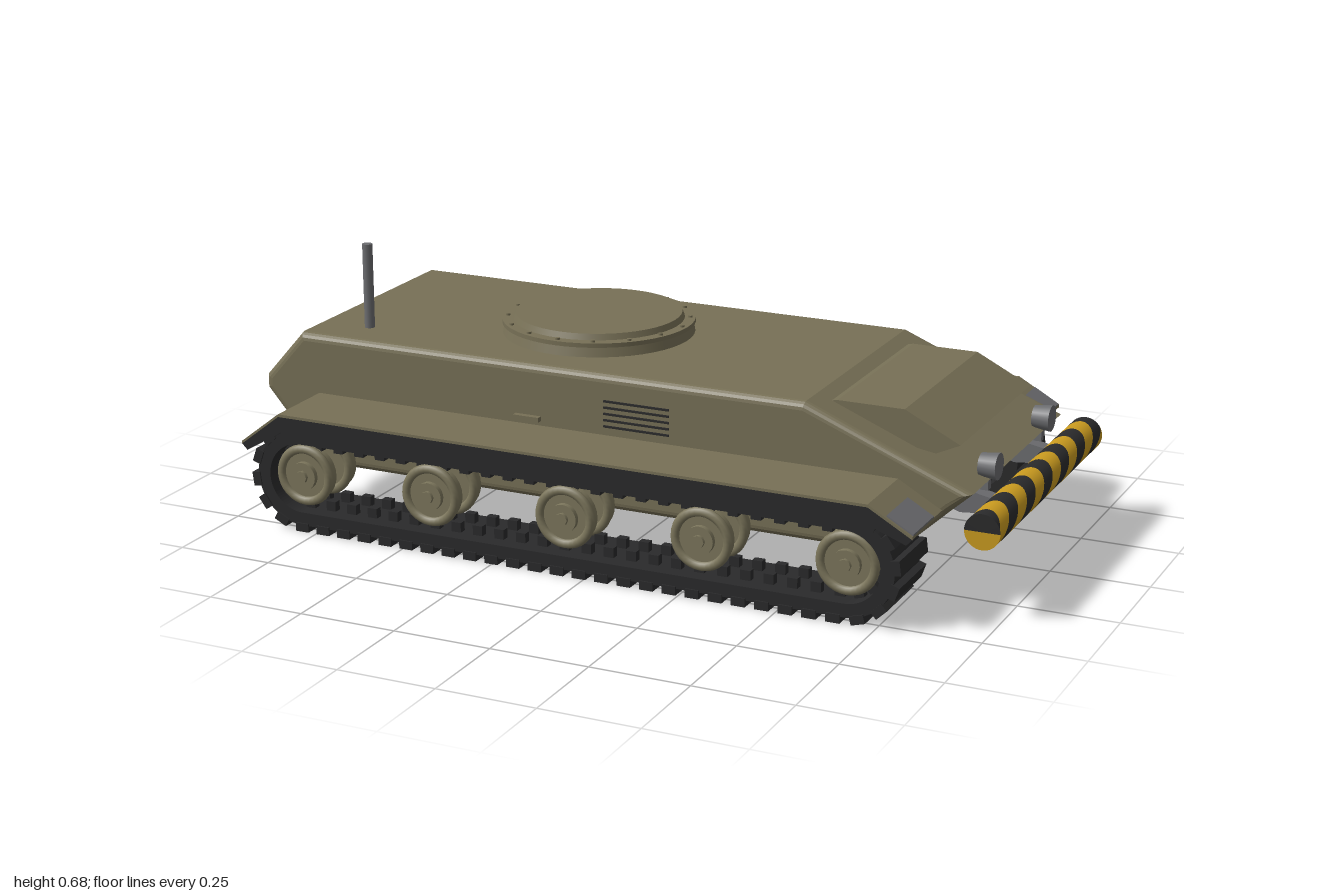
import * as THREE from 'three';
import { mergeGeometries } from 'three/addons/utils/BufferGeometryUtils.js';

const paint = (name, color) => {
  const m = new THREE.MeshStandardMaterial({ color });
  m.name = name;
  return m;
};

// Flat shape from a list of [x, y] points
const outline = (points) => new THREE.Shape(points.map(([x, y]) => new THREE.Vector2(x, y)));

// Side profile swept from z0 to z1, with optionally rounded edges
function sweep(shape, z0, z1, bevel = 0) {
  const geo = new THREE.ExtrudeGeometry(shape, {
    depth: z1 - z0 - 2 * bevel, bevelEnabled: bevel > 0, bevelThickness: bevel,
    bevelSize: bevel, bevelOffset: -bevel, bevelSegments: 4, curveSegments: 20,
  });
  return geo.translate(0, 0, z0 + bevel);
}

const box = (w, h, d, x, y, z) => new THREE.BoxGeometry(w, h, d).translate(x, y, z);

// Cylinder along z
const disc = (r0, r1, depth, x, y, z, n = 28) =>
  new THREE.CylinderGeometry(r0, r1, depth, n).rotateX(Math.PI / 2).translate(x, y, z);

// Track layout
const REAR = -0.79, FRONT = 0.67, AXLE = 0.14;
const wheelXs = [-0.79, -0.43, -0.06, 0.3, 0.67];

function stadium(r, PathType) {
  const p = new PathType();
  p.absarc(FRONT, AXLE, r, -Math.PI / 2, Math.PI / 2, false);
  p.absarc(REAR, AXLE, r, Math.PI / 2, Math.PI * 1.5, false);
  p.closePath();
  return p;
}

export function createModel() {
  const olive = paint('olive paint', 0x777056);
  const wheelOlive = paint('wheel olive', 0x7c765c);
  const black = paint('black rubber', 0x2a2a2b);
  const yellow = paint('warning yellow', 0xc99a1f);
  const grey = paint('bare metal', 0x6c6d70);
  const model = new THREE.Group();
  const add = (name, geo, mat, parent = model) => {
    const m = new THREE.Mesh(geo, mat);
    m.name = name;
    parent.add(m);
    return m;
  };

  // Hull
  add('hull', sweep(outline([
    [-0.89, 0.46], [-1, 0.335], [-1, 0.3], [-0.84, 0.115], [0.72, 0.115],
    [0.86, 0.245], [0.91, 0.29], [0.49, 0.46],
  ]), -0.345, 0.345, 0.02), olive);

  // Raised hatch on the sloping nose
  add('noseHatch', sweep(outline([
    [0.5, 0.44], [0.54, 0.448], [0.71, 0.448], [0.85, 0.378], [0.79, 0.35], [0.6, 0.38],
  ]), -0.257, 0.257), olive);

  // Turret ring with flange, bolts and low lid
  const ring = new THREE.Group();
  ring.name = 'turretRing';
  ring.position.set(-0.215, 0, 0);
  model.add(ring);
  const round = (r0, r1, y0, y1) => new THREE.CylinderGeometry(r0, r1, y1 - y0, 48).translate(0, (y0 + y1) / 2, 0);
  add('ringBase', round(0.238, 0.246, 0.455, 0.485), olive, ring);
  add('ringFlange', round(0.246, 0.246, 0.485, 0.496), olive, ring);
  add('lid', round(0.212, 0.218, 0.496, 0.511), olive, ring);
  const bolts = [];
  for (let i = 0; i < 16; i++) {
    const a = (i / 16) * Math.PI * 2;
    bolts.push(new THREE.CylinderGeometry(0.006, 0.006, 0.006, 8)
      .translate(0.232 * Math.cos(a), 0.498, 0.232 * Math.sin(a)));
  }
  add('ringBolts', mergeGeometries(bolts), olive, ring);

  // Antenna
  add('antenna', new THREE.CylinderGeometry(0.013, 0.013, 0.225, 12).translate(-0.757, 0.567, 0.225), grey);

  // Tread pads outside the belt and guide teeth inside it
  const straight = FRONT - REAR;
  const arc = Math.PI * 0.125;
  const loop = 2 * (straight + arc);
  function onBelt(geo, s, r) {
    if (s < straight) return geo.translate(REAR + s, AXLE - r, 0);
    s -= straight;
    if (s < arc) return geo.translate(0, -r, 0).rotateZ(s / 0.125).translate(FRONT, AXLE, 0);
    s -= arc;
    if (s < straight) return geo.rotateZ(Math.PI).translate(FRONT - s, AXLE + r, 0);
    return geo.translate(0, -r, 0).rotateZ(Math.PI + (s - straight) / 0.125).translate(REAR, AXLE, 0);
  }
  const pads = [], teeth = [];
  for (let i = 0; i < 62; i++) {
    const s = (i / 62) * loop;
    pads.push(onBelt(new THREE.BoxGeometry(0.036, 0.022, 0.178), s, 0.129));
    for (const z of [-0.035, 0.035]) {
      teeth.push(onBelt(new THREE.BoxGeometry(0.026, 0.03, 0.02).translate(0, 0, z), s, 0.08));
    }
  }
  const padGeo = mergeGeometries(pads), toothGeo = mergeGeometries(teeth);
  const beltShape = stadium(0.124, THREE.Shape);
  beltShape.holes.push(stadium(0.09, THREE.Path));
  const beltGeo = sweep(beltShape, -0.085, 0.085);

  // Fender slab and its painted top skin
  const top = [[0.84, 0.238], [0.73, 0.3], [-0.84, 0.3], [-0.95, 0.215]];
  const fenderShape = outline([...top, [-0.935, 0.2], [-0.83, 0.262], [0.72, 0.262], [0.825, 0.222]]);
  const skinShape = outline([...top, ...top.map(([x, y]) => [x, y + 0.007]).reverse()]);
  const patchShape = outline([[0.84, 0.245], [0.775, 0.282], [0.775, 0.286], [0.84, 0.249]]);

  // Running gear, one side turned around for the other
  for (const side of [1, -1]) {
    const name = side > 0 ? 'left' : 'right';
    const gear = new THREE.Group();
    gear.name = name + 'RunningGear';
    model.add(gear);
    const track = new THREE.Group();
    track.name = name + 'Track';
    track.position.z = side * 0.44;
    gear.add(track);
    add('belt', beltGeo, black, track);
    add('treadPads', padGeo, black, track);
    add('guideTeeth', toothGeo, black, track);

    const span = (shape, a, b) => (side > 0 ? sweep(shape, a, b) : sweep(shape, -b, -a));
    add('fender', span(fenderShape, 0.34, 0.54), black, gear);
    add('fenderSkin', span(skinShape, 0.34, 0.541), olive, gear);
    add('wornFenderTip', span(patchShape, 0.4, 0.535), grey, gear);

    for (const x of wheelXs) {
      const wheel = new THREE.Group();
      wheel.name = 'roadWheel';
      wheel.position.set(x, AXLE + 0.003, 0);
      gear.add(wheel);
      for (const z of [0.395, 0.49]) {
        add('wheelDisc', disc(0.073, 0.073, 0.03, 0, 0, side * z), wheelOlive, wheel);
        const rim = new THREE.TorusGeometry(0.068, 0.012, 8, 32).translate(0, 0, side * (z + 0.013));
        add('wheelRim', rim, wheelOlive, wheel);
      }
      add('hub', disc(0.036, 0.036, 0.03, 0, 0, side * 0.503, 20), wheelOlive, wheel);
      add('hubCap', disc(0.016, 0.016, 0.01, 0, 0, side * 0.522, 8), wheelOlive, wheel);
      add('axle', disc(0.025, 0.025, 0.15, 0, 0, side * 0.42, 12), wheelOlive, wheel);
    }
    // Suspension arms above the middle wheels
    for (const x of wheelXs.slice(1, 4)) {
      add('suspensionArm', box(0.19, 0.04, 0.035, x, 0.195, side * 0.358), wheelOlive, gear);
    }

    // Side vent slats and grab handle
    for (let i = 0; i < 5; i++) {
      add('ventSlat', box(0.175, 0.005, 0.006, 0.055, 0.33 + i * 0.016, side * 0.346), black);
    }
    add('grabHandle', box(0.07, 0.012, 0.02, -0.24, 0.325, side * 0.35), olive);

    // Headlamp with stalk, and bumper bracket
    const z = side * 0.2;
    add('headlampStalk', box(0.02, 0.05, 0.02, 0.895, 0.285, z), grey);
    add('headlamp', new THREE.CylinderGeometry(0.033, 0.028, 0.045, 20).rotateZ(-Math.PI / 2)
      .translate(0.905, 0.32, z), grey);
    add('bumperBracket', sweep(outline([[0.8, 0.215], [0.84, 0.2], [0.95, 0.21], [0.95, 0.24], [0.87, 0.255]]),
      z - 0.02, z + 0.02), grey);
  }

  // Bumper bar: slanted bands clipped flat at both ends
  const bar = new THREE.Group();
  bar.name = 'bumperBar';
  bar.position.set(0.956, 0.226, 0);
  model.add(bar);
  const R = 0.044, HALF = 0.395, BAND = 0.065;
  for (let n = -8; n <= 7; n++) {
    const geo = new THREE.CylinderGeometry(R, R, BAND, 40, 4, true).rotateX(Math.PI / 2);
    const p = geo.attributes.position;
    for (let i = 0; i < p.count; i++) {
      const z = p.getZ(i) + n * BAND - 1.2 * (p.getY(i) - R);
      p.setZ(i, THREE.MathUtils.clamp(z, -HALF, HALF));
    }
    add('bumperBand', geo, n % 2 === 0 ? black : yellow, bar);
  }
  for (const side of [1, -1]) {
    for (const [start, mat] of [[0, black], [Math.PI, yellow]]) {
      const cap = new THREE.CircleGeometry(R, 20, start, Math.PI);
      if (side < 0) cap.scale(-1, 1, 1).rotateY(0);
      const m = add('bumperEnd', cap, mat, bar);
      m.position.z = side * HALF;
      if (side < 0) m.material.side = THREE.DoubleSide;
    }
  }
  return model;
}
